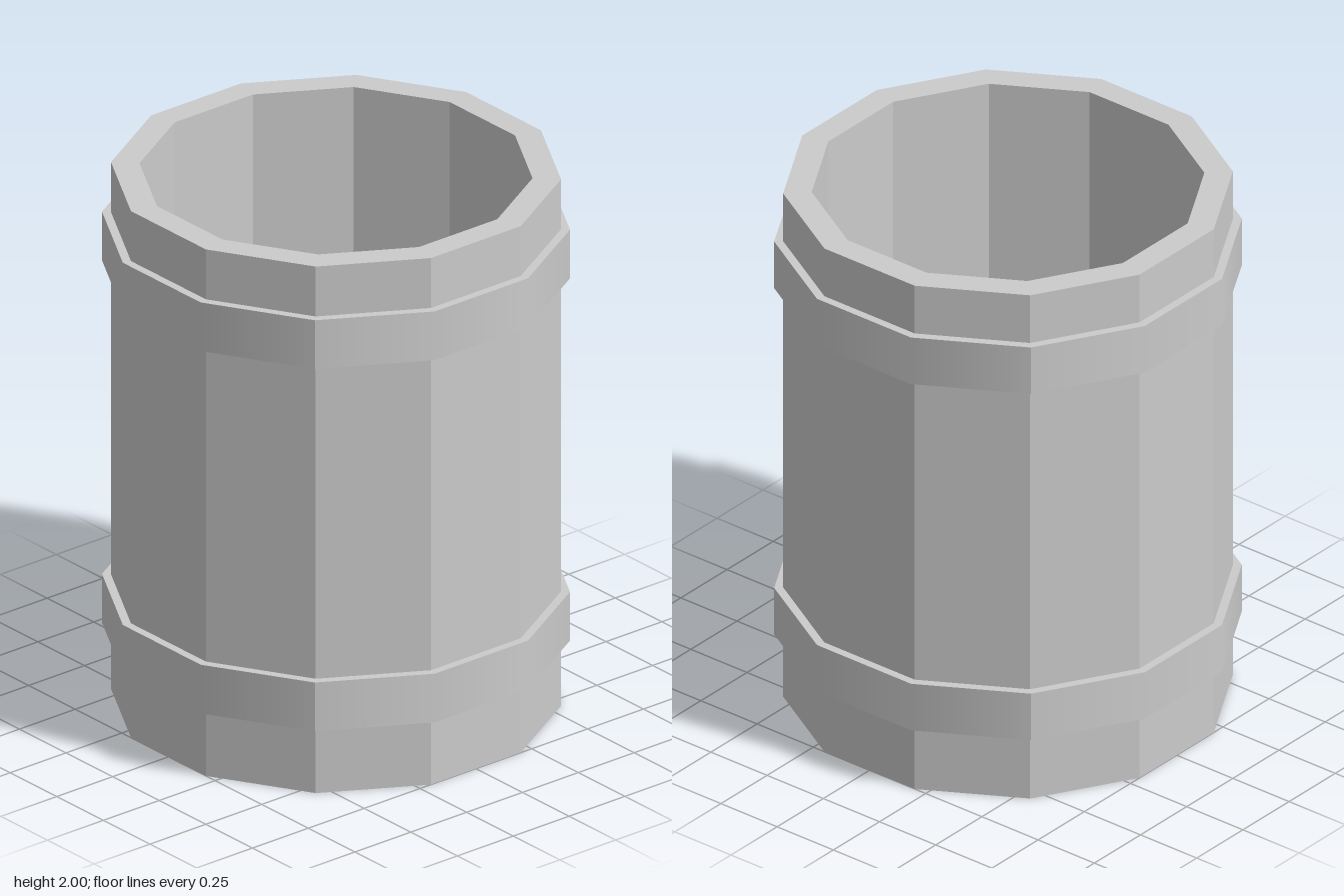
import * as THREE from 'three';

const SIDES = 12;
const HALF = Math.PI / SIDES;
// corner radius of a 12-sided outline from its flat-to-centre distance
const corner = (flat) => flat / Math.cos(HALF);

const OUTER = corner(0.75);
const INNER = corner(0.655);
const BAND = corner(0.78);
const HEIGHT = 2;
const FLOOR = 0.1;
const BAND_HEIGHT = 0.185;

// half of a band's wall: smooth along its length, with a crisp seam at both ends
function halfWall(start) {
  const segments = SIDES / 2;
  const geometry = new THREE.CylinderGeometry(BAND, BAND, BAND_HEIGHT, segments, 1, true, start, Math.PI);
  const normal = geometry.attributes.normal;
  for (let i = 0; i < normal.count; i++) {
    const column = i % (segments + 1);
    if (column !== 0 && column !== segments) continue;
    const angle = start + (column === 0 ? HALF : Math.PI - HALF);
    normal.setXYZ(i, Math.sin(angle), 0, Math.cos(angle));
  }
  return geometry;
}

function createBand(name, y, material) {
  const band = new THREE.Group();
  band.name = name;
  band.position.y = y;

  for (const start of [-Math.PI / 4, Math.PI * 3 / 4]) {
    const wall = new THREE.Mesh(halfWall(start), material);
    wall.name = 'bandWall';
    band.add(wall);
  }

  // flat ledges above and below
  for (const side of [1, -1]) {
    const ledge = new THREE.Mesh(new THREE.RingGeometry(OUTER, BAND, SIDES, 1, HALF), material);
    ledge.name = side > 0 ? 'upperLedge' : 'lowerLedge';
    ledge.rotation.x = -side * Math.PI / 2;
    ledge.position.y = side * BAND_HEIGHT / 2;
    band.add(ledge);
  }
  return band;
}

export function createModel() {
  const model = new THREE.Group();
  model.name = 'barrel';
  const flat = new THREE.MeshStandardMaterial({ color: 0xcccccc, flatShading: true });
  const smooth = new THREE.MeshStandardMaterial({ color: 0xcccccc });

  // hollow body: underside, outer wall, rim, inner wall, floor
  const profile = [
    [0, 0], [OUTER, 0], [OUTER, HEIGHT], [INNER, HEIGHT], [INNER, FLOOR], [0, FLOOR],
  ].map(([x, y]) => new THREE.Vector2(x, y));
  const body = new THREE.Mesh(new THREE.LatheGeometry(profile, SIDES, HALF), flat);
  body.name = 'body';
  model.add(body);

  model.add(createBand('lowerBand', 0.342, smooth));
  model.add(createBand('upperBand', 1.718, smooth));
  return model;
}
